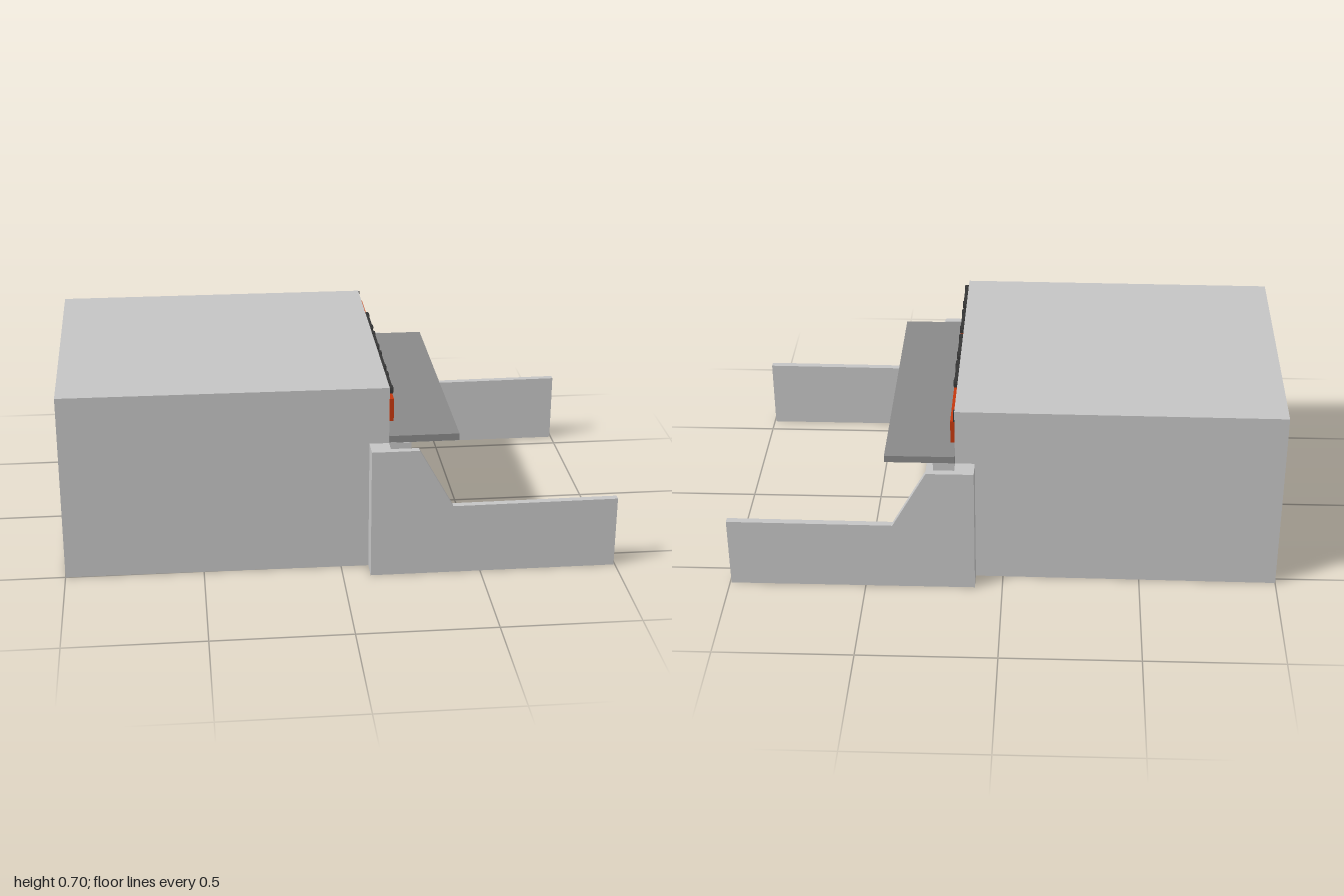
import * as THREE from 'three';

const mat = (name, color) => new THREE.MeshStandardMaterial({ name, color });

export function createModel() {
  const concrete = mat('light concrete', 0xc4c4c4);
  const canopyGrey = mat('canopy grey', 0x888888);
  const darkGrey = mat('dark grey', 0x646464);
  const charcoal = mat('charcoal', 0x363636);
  const orange = mat('orange', 0xc4380e);
  const glass = mat('blue glass', 0x90bad3);

  const model = new THREE.Group();
  model.name = 'storefront';

  // Box given by its limits on each axis
  const box = (name, material, [x0, x1], [y0, y1], [z0, z1], parent = model) => {
    const mesh = new THREE.Mesh(new THREE.BoxGeometry(x1 - x0, y1 - y0, z1 - z0), material);
    mesh.position.set((x0 + x1) / 2, (y0 + y1) / 2, (z0 + z1) / 2);
    mesh.name = name;
    parent.add(mesh);
    return mesh;
  };
  const group = (name) => {
    const g = new THREE.Group();
    g.name = name;
    model.add(g);
    return g;
  };
  const polygon = (points) => new THREE.Shape(points.map(([x, y]) => new THREE.Vector2(x, y)));

  // Main block, slightly skewed in plan (plan points are x, -z)
  const plan = polygon([[-1, -0.5], [0.17, -0.51], [0.17, 0.515], [-1, 0.525]]);
  const block = new THREE.Mesh(
    new THREE.ExtrudeGeometry(plan, { depth: 0.7, bevelEnabled: false }).rotateX(-Math.PI / 2), concrete);
  block.name = 'building';
  model.add(block);
  box('parapetEnd', charcoal, [0.168, 0.174], [0.66, 0.699], [-0.515, -0.495]);

  // Entrance slab, canopy and fascia band
  box('entranceSlab', concrete, [0.16, 0.333], [0, 0.038], [-0.512, 0.512]);
  box('canopy', canopyGrey, [0.171, 0.423], [0.488, 0.514], [-0.515, 0.508]);
  box('fasciaBand', orange, [0.171, 0.185], [0.574, 0.659], [-0.512, 0.512]);

  // Side walls stepping down, each with a return to the building
  const profile = polygon([[0.1, 0], [0.995, 0], [0.995, 0.268], [0.395, 0.265], [0.27, 0.488], [0.1, 0.488]]);
  const wallGeometry = new THREE.ExtrudeGeometry(profile, { depth: 0.025, bevelEnabled: false });
  for (const side of [1, -1]) {
    const wing = group(side > 0 ? 'leftWing' : 'rightWing');
    const wall = new THREE.Mesh(wallGeometry, concrete);
    wall.name = 'sideWall';
    wall.position.z = side > 0 ? 0.562 : -0.589;
    wing.add(wall);
    const span = (a, b) => (side > 0 ? [a, b] : [-b, -a]);
    box('wallReturn', concrete, [0.1, 0.17], [0, 0.488], span(0.505, 0.566), wing);
    box('entranceFin', concrete, [0.165, 0.25], [0.038, 0.488], span(0.494, 0.51), wing);
  }

  // Glazed front between dark posts
  const front = group('glazedFront');
  box('glassPane', glass, [0.165, 0.19], [0.038, 0.488], [-0.43, 0.462], front);
  box('leftPost', darkGrey, [0.165, 0.205], [0.038, 0.488], [0.46, 0.495], front);
  box('rightPost', darkGrey, [0.165, 0.205], [0.038, 0.488], [-0.495, -0.428], front);
  box('transom', glass, [0.185, 0.194], [0.379, 0.387], [-0.43, 0.462], front);

  // Mullions: glazed face, orange sides, and a cross fitting at the transom
  const mullionSides = [glass, orange, orange, orange, orange, orange];
  for (const z of [0.307, 0.102, -0.103, -0.308]) {
    box('mullion', mullionSides, [0.185, 0.198], [0.038, 0.488], [z - 0.004, z + 0.004], front);
    box('crossUpright', orange, [0.185, 0.203], [0.37, 0.396], [z - 0.006, z + 0.006], front);
    box('crossArm', orange, [0.185, 0.201], [0.377, 0.389], [z - 0.013, z + 0.013], front);
  }

  // Door handles
  for (const z of [-0.179, -0.23]) {
    box('doorHandle', charcoal, [0.188, 0.205], [0.168, 0.259], [z - 0.004, z + 0.004], front);
  }

  // Row of lamps above the fascia, with thicker end mounts
  const lamps = group('fasciaLamps');
  for (let i = 0; i < 4; i++) {
    const z = 0.407 - i * 0.2045;
    box('lampBar', charcoal, [0.172, 0.184], [0.673, 0.688], [z - 0.088, z + 0.088], lamps);
    for (const end of [-0.066, 0.066]) {
      box('lampMount', charcoal, [0.168, 0.186], [0.671, 0.69], [z + end - 0.012, z + end + 0.012], lamps);
    }
  }

  return model;
}
